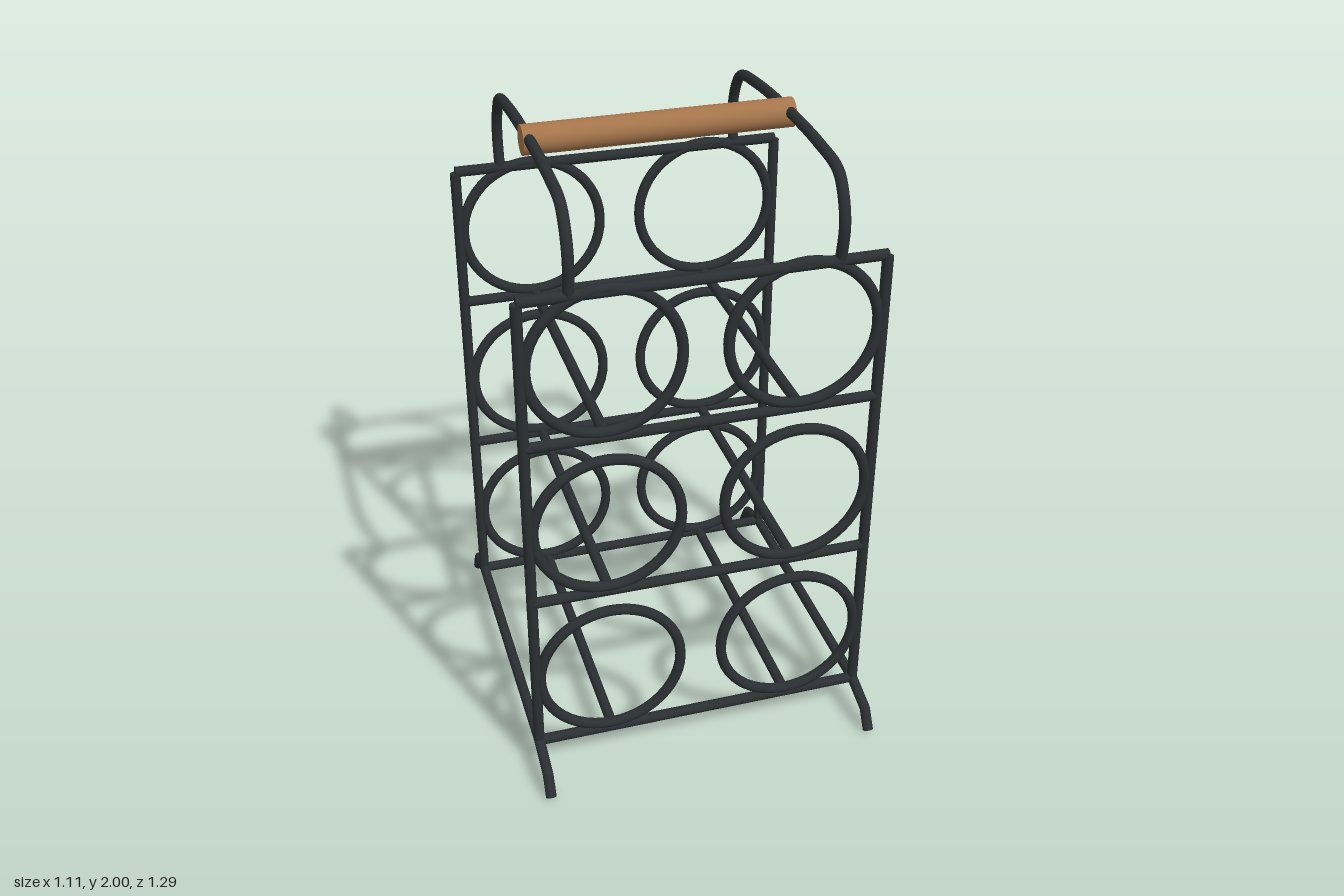
import * as THREE from 'three';

const R = 0.017;        // wire radius
const POST_X = 0.54, FACE_Z = 0.474, RING_X = 0.297;
const LEVELS = [0.11, 0.665, 1.22];
const TOP = 1.685;

const wire = new THREE.MeshStandardMaterial({ color: 0x2b2f31 });
const wood = new THREE.MeshStandardMaterial({ color: 0xa5754b });

export function createModel() {
  const model = new THREE.Group();
  model.name = 'bottleRack';

  const add = (name, geometry, material = wire) => {
    const mesh = new THREE.Mesh(geometry, material);
    mesh.name = name;
    model.add(mesh);
    return mesh;
  };

  // Straight round rod between two points
  const rod = (name, a, b, radius = R, material = wire, sides = 16) => {
    const from = new THREE.Vector3(...a), to = new THREE.Vector3(...b);
    const dir = to.clone().sub(from);
    const mesh = add(name, new THREE.CylinderGeometry(radius, radius, dir.length(), sides), material);
    mesh.position.copy(from).add(to).multiplyScalar(0.5);
    mesh.quaternion.setFromUnitVectors(new THREE.Vector3(0, 1, 0), dir.normalize());
  };

  const ringGeometry = new THREE.TorusGeometry(0.229, R, 12, 48);
  const jointGeometry = new THREE.SphereGeometry(R, 16, 10);

  for (const s of [1, -1]) {
    const z = s * FACE_Z;

    // Cross bars of the front and back frames
    for (const y of [...LEVELS, TOP]) rod('crossBar', [-POST_X, y, z], [POST_X, y, z]);

    for (const t of [1, -1]) {
      const x = t * POST_X;

      // Corner post and bent foot
      rod('cornerPost', [x, LEVELS[0], z], [x, 1.68, z]);
      const knee = [x, 0.073, s * 0.593];
      rod('footUpper', [x, LEVELS[0], z], knee);
      rod('footLower', knee, [x, 0.01, s * 0.63]);
      for (const p of [[x, LEVELS[0], z], knee]) add('footJoint', jointGeometry).position.set(...p);

      // Bottle rings resting on each level
      for (const y of LEVELS) add('bottleRing', ringGeometry).position.set(t * RING_X, y + 0.245, z);
    }
  }

  for (const t of [1, -1]) {
    // Depth bars under the rings and along the base sides
    for (const y of LEVELS) rod('depthBar', [t * RING_X, y, -FACE_Z], [t * RING_X, y, FACE_Z]);
    rod('baseSideBar', [t * POST_X, LEVELS[0], -FACE_Z], [t * POST_X, LEVELS[0], FACE_Z]);

    // Arched handle wire, mirrored front to back
    const half = [[0.474, 1.685], [0.486, 1.8], [0.458, 1.885], [0.415, 1.933], [0.27, 1.957]];
    const profile = [...half, [0, 1.967], ...half.map(([z, y]) => [-z, y]).reverse()];
    const path = new THREE.CatmullRomCurve3(profile.map(([z, y]) => new THREE.Vector3(t * 0.395, y, z)));
    add('handleArch', new THREE.TubeGeometry(path, 80, R, 12));
  }

  // Wooden grip
  rod('handleGrip', [-0.413, 1.955, 0], [0.413, 1.955, 0], 0.045, wood, 32);

  return model;
}
